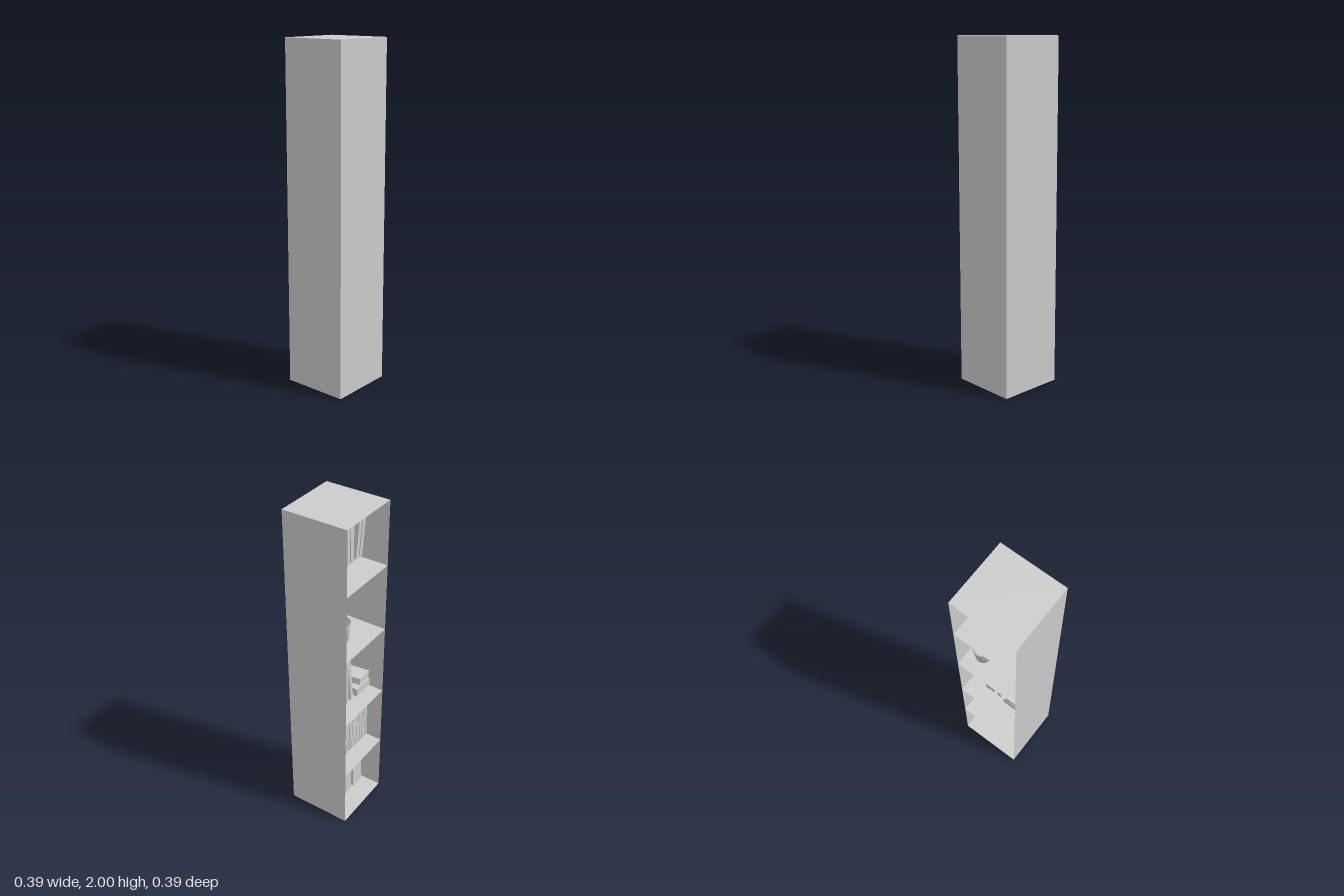
import * as THREE from 'three';

const W = 0.39, H = 2, HALF = W / 2;
const material = new THREE.MeshStandardMaterial({ color: 0xcccccc, side: THREE.DoubleSide });

function add(parent, geometry, name, x, y, z) {
  const mesh = new THREE.Mesh(geometry, material);
  mesh.name = name;
  mesh.position.set(x, y, z);
  parent.add(mesh);
  return mesh;
}

// Row of standing books; each entry is [x of foot centre, width, height, lean towards -x]
function bookRow(parent, name, y, spineZ, depth, books) {
  const row = new THREE.Group();
  row.name = name;
  for (const [x, w, h, lean = 0] of books) {
    const geometry = new THREE.BoxGeometry(w, h, depth).translate(0, h / 2, depth / 2);
    add(row, geometry, 'book', x, y, spineZ).rotation.z = lean;
  }
  parent.add(row);
}

// Open tapered cup with a flat base
function cup(parent, x, y, z, rTop, rBase, h) {
  const t = 0.004;
  const profile = [[0, 0], [rBase, 0], [rTop, h], [rTop - t, h], [rBase - t, t], [0, t]];
  add(parent, new THREE.LatheGeometry(profile.map(p => new THREE.Vector2(...p)), 32).toNonIndexed(), 'cup', x, y, z);
}

export function createModel() {
  const model = new THREE.Group();
  model.name = 'bookcase';

  // Thin case, open towards -z
  const wall = () => new THREE.PlaneGeometry(W, H);
  add(model, wall(), 'closedPanel', 0, H / 2, HALF);
  for (const side of [-1, 1]) {
    add(model, wall(), 'sideWall', side * HALF, H / 2, 0).rotation.y = side * Math.PI / 2;
  }
  for (const y of [0, 0.38, 0.77, 1.21, 1.62, H]) {
    add(model, new THREE.PlaneGeometry(W, W), 'shelf', 0, y, 0).rotation.x = y === 0 ? Math.PI / 2 : -Math.PI / 2;
  }

  // Thick volumes on the bottom
  bookRow(model, 'thickBooks', 0.005, -0.07, 0.23, [
    [0.14, 0.073, 0.25], [0.062, 0.072, 0.315], [-0.025, 0.075, 0.295], [-0.13, 0.095, 0.3],
  ]);

  // Tightly packed thin books, the first few leaning
  const packed = [[0.142, 0.055, 0.22], [0.094, 0.024, 0.29, 0.11], [0.064, 0.024, 0.3, 0.09], [0.034, 0.022, 0.3, 0.06]];
  for (let i = 0; i < 7; i++) packed.push([-0.002 - i * 0.028, 0.023, 0.29 + 0.012 * (i % 3), i < 2 ? 0.03 : 0]);
  bookRow(model, 'thinBooks', 0.395, -0.1, 0.24, packed);

  // Tall books, a small one behind, and a lying pair
  bookRow(model, 'tallBooks', 0.79, -0.1, 0.23, [
    [0.07, 0.036, 0.35], [0.037, 0.022, 0.35], [-0.012, 0.024, 0.345, -0.11],
  ]);
  bookRow(model, 'smallBook', 0.78, 0.04, 0.13, [[0.165, 0.045, 0.15]]);
  add(model, new THREE.BoxGeometry(0.135, 0.05, 0.2), 'lyingBook', -0.116, 0.81, -0.01);
  const upper = add(model, new THREE.BoxGeometry(0.12, 0.04, 0.19), 'tiltedBook', -0.116, 0.872, -0.015);
  upper.rotation.set(0, 0.12, 0.15);

  // Two cups
  cup(model, 0.098, 1.268, -0.089, 0.0575, 0.045, 0.117);
  cup(model, 0.033, 1.268, -0.004, 0.036, 0.028, 0.075);

  // Loose books at the top
  bookRow(model, 'upperBooks', 1.67, -0.07, 0.2, [
    [0.147, 0.02, 0.245], [0.119, 0.028, 0.25, -0.04], [0.085, 0.03, 0.245, -0.05],
    [0.021, 0.022, 0.265], [-0.008, 0.026, 0.27], [-0.043, 0.03, 0.26],
    [-0.09, 0.026, 0.25, 0.14], [-0.125, 0.026, 0.25, 0.14],
  ]);
  return model;
}
